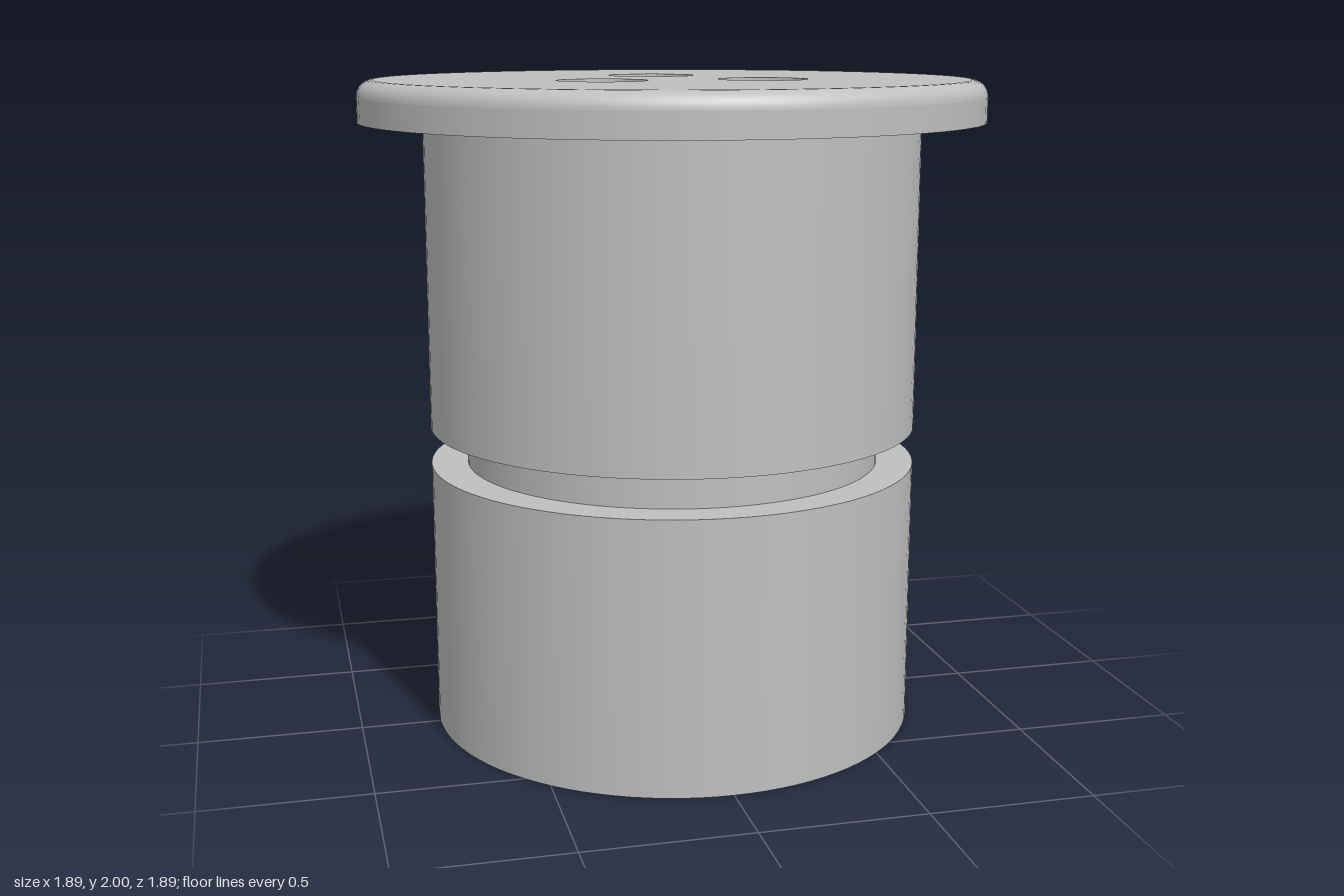
import * as THREE from 'three';
import { mergeGeometries } from 'three/addons/utils/BufferGeometryUtils.js';

const SEG = 96;
const BODY = 0.755, GROOVE = 0.643, BORE = 0.54, FLANGE = 0.947, FILLET = 0.05;
const HOLE = 0.135, HOLE_RING = 0.283, CAP_BOTTOM = 1.9, TOP = 2;

// Lathe each span of the profile separately, so the corners between them stay sharp
function turned(points, segments = SEG) {
  const spans = [];
  for (let i = 0; i < points.length - 1; i++) {
    const pair = [points[i], points[i + 1]].map(([r, y]) => new THREE.Vector2(r, y));
    spans.push(new THREE.LatheGeometry(pair, segments));
  }
  return mergeGeometries(spans);
}

// Flat disc pierced by the three holes, in the xz plane
function piercedDisc(radius, y, centres, faceUp) {
  const shape = new THREE.Shape().absarc(0, 0, radius, 0, Math.PI * 2);
  for (const [x, z] of centres) {
    // shape y maps to -z when facing up and to +z when facing down
    shape.holes.push(new THREE.Path().absarc(x, faceUp ? -z : z, HOLE, 0, Math.PI * 2, true));
  }
  const geo = new THREE.ShapeGeometry(shape, SEG / 2);
  return geo.rotateX(faceUp ? -Math.PI / 2 : Math.PI / 2).translate(0, y, 0);
}

export function createModel() {
  const model = new THREE.Group();
  model.name = 'flangedPlug';
  const grey = new THREE.MeshStandardMaterial({ color: 0xbfbfbf });
  grey.name = 'grey';

  const add = (name, geometry) => {
    const mesh = new THREE.Mesh(geometry, grey);
    mesh.name = name;
    model.add(mesh);
    return mesh;
  };

  // Hollow body with a groove round its middle, from bore top down and up the outside
  add('body', turned([
    [BORE, CAP_BOTTOM], [BORE, 0], [BODY, 0], [BODY, 0.825], [GROOVE, 0.825],
    [GROOVE, 0.94], [BODY, 0.94], [BODY, 1.875],
  ]));

  // Flange underside and rim
  add('flangeRim', turned([[BODY, 1.875], [FLANGE, 1.875], [FLANGE, TOP - FILLET]]));

  // Rounded upper edge of the flange
  const arc = [];
  for (let i = 0; i <= 8; i++) {
    const a = (i / 8) * Math.PI / 2;
    arc.push(new THREE.Vector2(FLANGE - FILLET + FILLET * Math.cos(a), TOP - FILLET + FILLET * Math.sin(a)));
  }
  add('flangeRoundedEdge', new THREE.LatheGeometry(arc, SEG));

  // Three holes, one at the back and two at the front
  const centres = [0, 1, 2].map((i) => {
    const a = (i / 3) * Math.PI * 2;
    return [HOLE_RING * Math.sin(a), -HOLE_RING * Math.cos(a)];
  });
  add('capTop', piercedDisc(FLANGE - FILLET, TOP, centres, true));
  add('capUnderside', piercedDisc(BORE, CAP_BOTTOM, centres, false));
  for (const [x, z] of centres) {
    add('holeWall', turned([[HOLE, TOP], [HOLE, CAP_BOTTOM]], SEG / 2)).position.set(x, 0, z);
  }
  return model;
}
